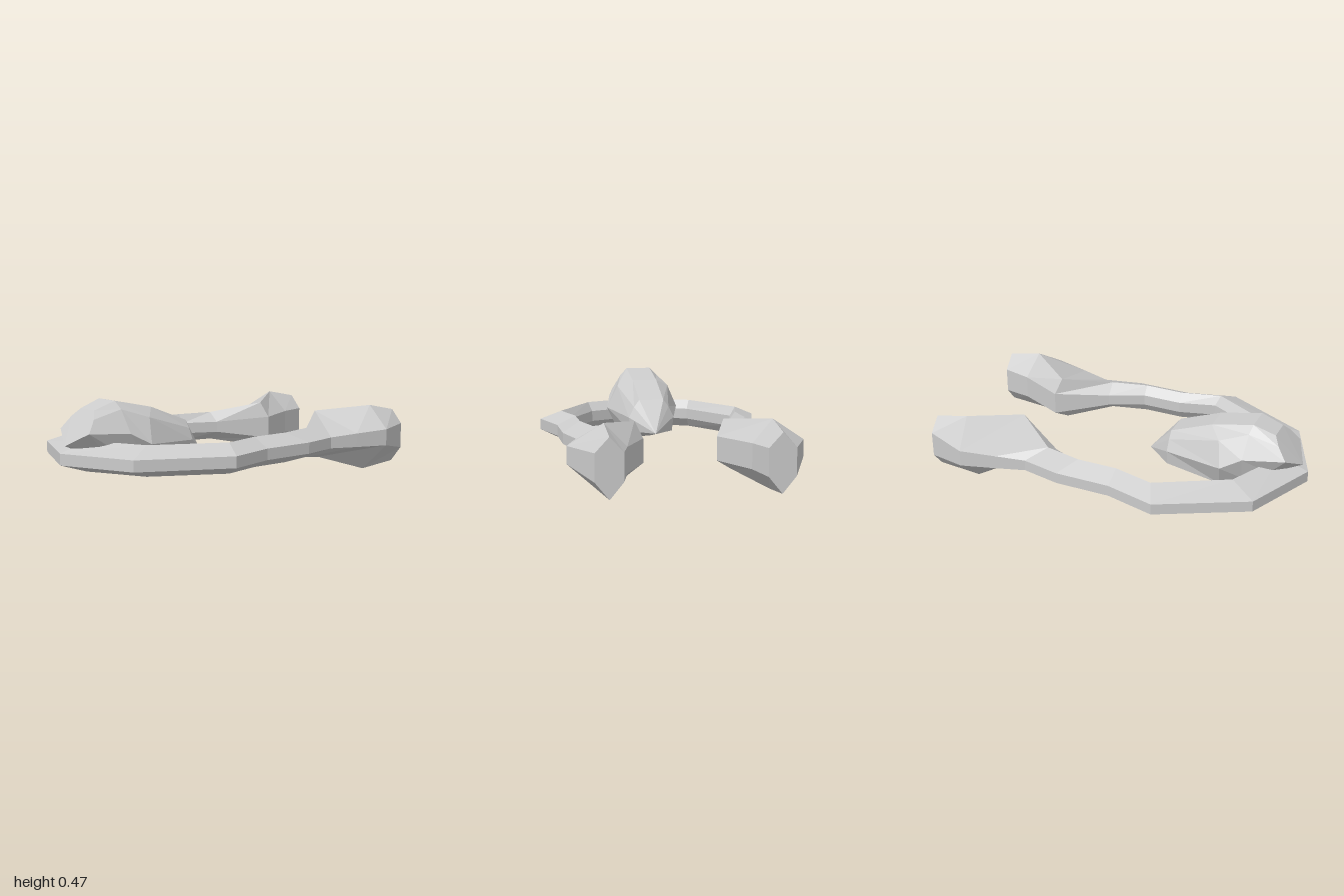
import * as THREE from 'three';

const material = new THREE.MeshStandardMaterial({ color: 0xcccccc, flatShading: true });

// Skins a list of equal-sized point rings, closes both ends, and faces outward.
function loft(name, rings) {
  const n = rings[0].length, tris = [];
  const add = (a, b, c) => tris.push([a, b, c]);
  for (let i = 0; i < rings.length - 1; i++) {
    for (let j = 0; j < n; j++) {
      const k = (j + 1) % n, a = rings[i], b = rings[i + 1];
      add(a[j], b[j], b[k]);
      add(a[j], b[k], a[k]);
    }
  }
  const first = rings[0], last = rings[rings.length - 1];
  for (let j = 1; j < n - 1; j++) {
    add(first[0], first[j], first[j + 1]);
    add(last[0], last[j + 1], last[j]);
  }
  // Signed volume decides the winding; collapsed triangles are dropped
  let volume = 0;
  const v = (p) => new THREE.Vector3(...p);
  const solid = tris.filter(([a, b, c]) => {
    const cross = v(b).sub(v(a)).cross(v(c).sub(v(a)));
    volume += v(a).dot(v(b).cross(v(c)));
    return cross.length() > 1e-6;
  });
  const pos = solid.flatMap(([a, b, c]) => (volume > 0 ? [a, b, c] : [a, c, b])).flat();
  const geo = new THREE.BufferGeometry();
  geo.setAttribute('position', new THREE.Float32BufferAttribute(pos, 3));
  geo.computeVertexNormals();
  const mesh = new THREE.Mesh(geo, material);
  mesh.name = name;
  return mesh;
}

// Six-sided section: outer edge, top ridge, inner edge, bottom ridge
const section = ([ox, oz, oHi, oLo], [tx, tz, ty], [ix, iz, iHi, iLo], [bx, bz, by]) => [
  [ox, oHi, oz], [tx, ty, tz], [ix, iHi, iz], [ix, iLo, iz], [bx, by, bz], [ox, oLo, oz],
];
// Plain band section with constant heights
const band = (o, r, i) =>
  section([...o, 0.23, 0.17], [...r, 0.28], [...i, 0.23, 0.17], [...r, 0.12]);

function createClaws() {
  const half = [
    band([-0.83, 0.39], [-0.69, 0.31], [-0.65, 0.29]),
    band([-0.37, 0.625], [-0.32, 0.51], [-0.3, 0.475]),
    band([-0.1, 0.555], [-0.1, 0.455], [-0.1, 0.42]),
    band([0.2, 0.555], [0.12, 0.455], [0.12, 0.42]),
    band([0.41, 0.51], [0.32, 0.41], [0.31, 0.335]),
    // swollen claw
    section([0.57, 0.55, 0.24, 0.165], [0.56, 0.23, 0.335], [0.59, 0.19, 0.25, 0.125], [0.55, 0.27, 0.075]),
    section([0.76, 0.595, 0.25, 0.16], [0.81, 0.42, 0.365], [0.84, 0.31, 0.25, 0.12], [0.76, 0.42, 0.005]),
    section([1, 0.49, 0.25, 0.11], [1, 0.42, 0.325], [1, 0.35, 0.25, 0.11], [1, 0.42, 0.025]),
  ];
  const mirrored = half.map((r) => r.map(([x, y, z]) => [x, y, -z])).reverse();
  const middle = band([-1, 0], [-0.84, 0], [-0.79, 0]);
  return loft('clawArms', [...mirrored, middle, ...half]);
}

function createBody() {
  // Each station lists one side from top to lower flank, then the keel point
  const stations = [
    [[-0.83, 0.44, 0.06], [-0.86, 0.4, 0.1], [-0.91, 0.335, 0.13], [-0.82, 0.24, 0.11], [-0.82, 0.2, 0]],
    [[-0.71, 0.48, 0.07], [-0.7, 0.44, 0.11], [-0.69, 0.32, 0.18], [-0.68, 0.19, 0.14], [-0.68, 0.13, 0]],
    [[-0.48, 0.43, 0.07], [-0.55, 0.39, 0.15], [-0.58, 0.26, 0.21], [-0.56, 0.13, 0.15], [-0.58, 0.08, 0]],
    [[-0.25, 0.34, 0.07], [-0.25, 0.3, 0.1], [-0.25, 0.24, 0.13], [-0.25, 0.16, 0.12], [-0.25, 0.135, 0]],
  ];
  const rings = stations.map((s) => [
    ...s, ...s.slice(0, 4).reverse().map(([x, y, z]) => [x, y, -z]),
  ]);
  const point = (x, y) => Array.from({ length: 9 }, () => [x, y, 0]);
  return loft('body', [point(-0.97, 0.265), ...rings, point(-0.1, 0.165)]);
}

export function createModel() {
  const model = new THREE.Group();
  model.name = 'clawedBody';
  model.add(createClaws(), createBody());
  return model;
}
